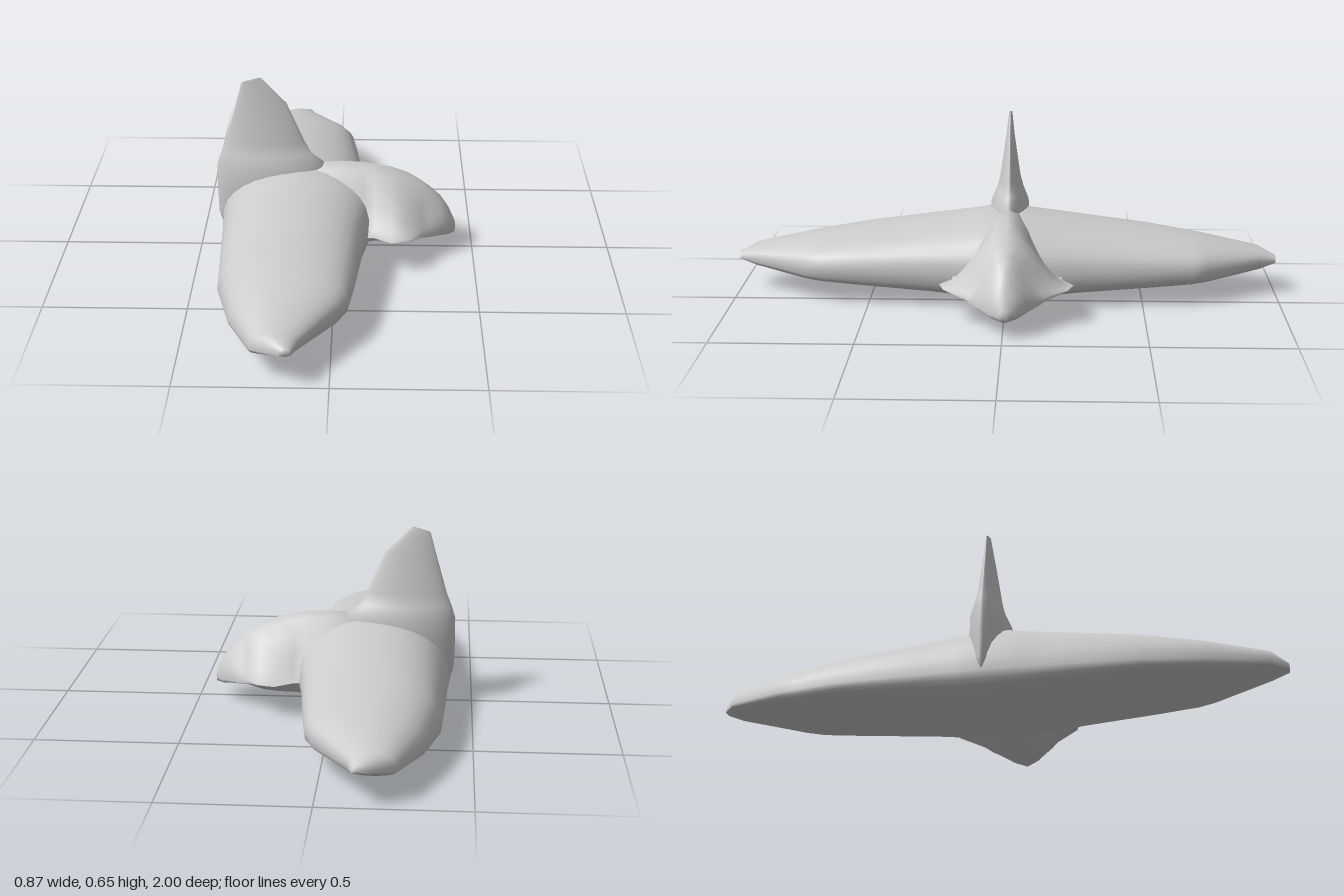
import * as THREE from 'three';

const N = 32; // points around each cross-section

// Skins a list of closed rings and closes both ends; faces always point outward
function loft(rings, name) {
  const pos = [], idx = [];
  rings.forEach(r => r.forEach(p => pos.push(...p)));
  for (let i = 0; i < rings.length - 1; i++) for (let j = 0; j < N; j++) {
    const a = i * N + j, b = i * N + (j + 1) % N;
    idx.push(a, b, a + N, b, b + N, a + N);
  }
  [0, rings.length - 1].forEach((ri, end) => {
    const c = pos.length / 3;
    pos.push(...[0, 1, 2].map(k => rings[ri].reduce((s, p) => s + p[k], 0) / N));
    for (let j = 0; j < N; j++) {
      const a = ri * N + j, b = ri * N + (j + 1) % N;
      if (end) idx.push(a, b, c); else idx.push(b, a, c);
    }
  });
  // signed volume decides the winding
  let vol = 0;
  const v = i => new THREE.Vector3().fromArray(pos, i * 3);
  for (let i = 0; i < idx.length; i += 3) vol += v(idx[i]).dot(v(idx[i + 1]).cross(v(idx[i + 2])));
  if (vol < 0) idx.reverse();
  const g = new THREE.BufferGeometry();
  g.setAttribute('position', new THREE.Float32BufferAttribute(pos, 3));
  g.setIndex(idx);
  g.computeVertexNormals();
  const mesh = new THREE.Mesh(g, new THREE.MeshStandardMaterial({ color: 0xcccccc }));
  mesh.name = name;
  return mesh;
}

const ring = f => Array.from({ length: N }, (_, j) => {
  const a = j / N * Math.PI * 2;
  return f(Math.cos(a), Math.sin(a));
});

export function createModel() {
  const group = new THREE.Group();
  group.name = 'finnedGlider';

  // Wing half-stations: |z|, rear x, front x, bottom y, top y
  const half = [
    [1, -0.16, -0.12, 0.115, 0.14], [0.94, -0.255, -0.1, 0.085, 0.165],
    [0.74, -0.34, 0.03, 0.058, 0.208], [0.68, -0.355, 0.055, 0.052, 0.22],
    [0.52, -0.393, 0.075, 0.038, 0.245], [0.27, -0.405, 0.1, 0.02, 0.28],
    [0.1, -0.412, 0.13, 0.006, 0.305],
  ];
  const stations = [
    ...half.map(([z, ...s]) => [-z, ...s]),
    [0, -0.42, 0.14, 0, 0.325],
    ...half.slice().reverse(),
  ];
  group.add(loft(stations.map(([z, x0, x1, y0, y1]) => ring((c, s) => {
    const x = (x0 + x1) / 2 + c * (x1 - x0) / 2;
    // edge line runs slightly uphill toward the front
    const edge = THREE.MathUtils.clamp(0.125 + 0.11 * Math.min(0, x + 0.05), y0, y1);
    const y = s >= 0 ? edge + (y1 - edge) * s ** 0.85 : edge - (edge - y0) * (-s) ** 0.6;
    return [x, y, z];
  })), 'wing'));

  // Head stations: x, half width, edge y, bottom y, top y, roundness
  const head = [
    [-0.15, 0.18, 0.14, 0.03, 0.325, 0], [0.02, 0.2, 0.13, 0.015, 0.337, 0],
    [0.1, 0.2, 0.125, 0.02, 0.333, 0], [0.14, 0.2, 0.122, 0.025, 0.328, 0],
    [0.2, 0.24, 0.122, 0.03, 0.312, 0], [0.26, 0.22, 0.12, 0.036, 0.29, 0.05],
    [0.31, 0.14, 0.1, 0.052, 0.262, 0.3], [0.34, 0.115, 0.09, 0.066, 0.238, 0.5],
    [0.38, 0.08, 0.085, 0.06, 0.2, 0.8], [0.41, 0.055, 0.08, 0.058, 0.155, 1],
    [0.435, 0.02, 0.08, 0.059, 0.1, 1],
  ];
  group.add(loft(head.map(([x, w, e, y0, y1, k]) => ring((c, s) => {
    // bell-shaped flanks that turn round toward the nose
    const bell = (1 + Math.cos(Math.PI * c)) / 2;
    const f = THREE.MathUtils.lerp(bell, Math.abs(s), k);
    return [x, s >= 0 ? e + (y1 - e) * f : e - (e - y0) * f, c * w - 0.008];
  })), 'head'));

  // Tail fin stations: y, rear x, front x, half thickness, tip slope
  const fin = [
    [0.07, -0.412, -0.2, 0.03, 0], [0.13, -0.432, -0.12, 0.05, 0],
    [0.24, -0.435, -0.05, 0.07, 0], [0.32, -0.434, -0.03, 0.07, 0],
    [0.365, -0.42, -0.09, 0.05, 0], [0.41, -0.402, -0.115, 0.038, 0],
    [0.56, -0.36, -0.18, 0.016, 0], [0.645, -0.34, -0.27, 0.006, 0.01],
  ];
  group.add(loft(fin.map(([y, x0, x1, h, slope]) => ring((c, s) => [
    (x0 + x1) / 2 + c * (x1 - x0) / 2, y + slope * c, s * Math.abs(s) ** 0.3 * h - 0.01,
  ])), 'tailFin'));

  return group;
}
